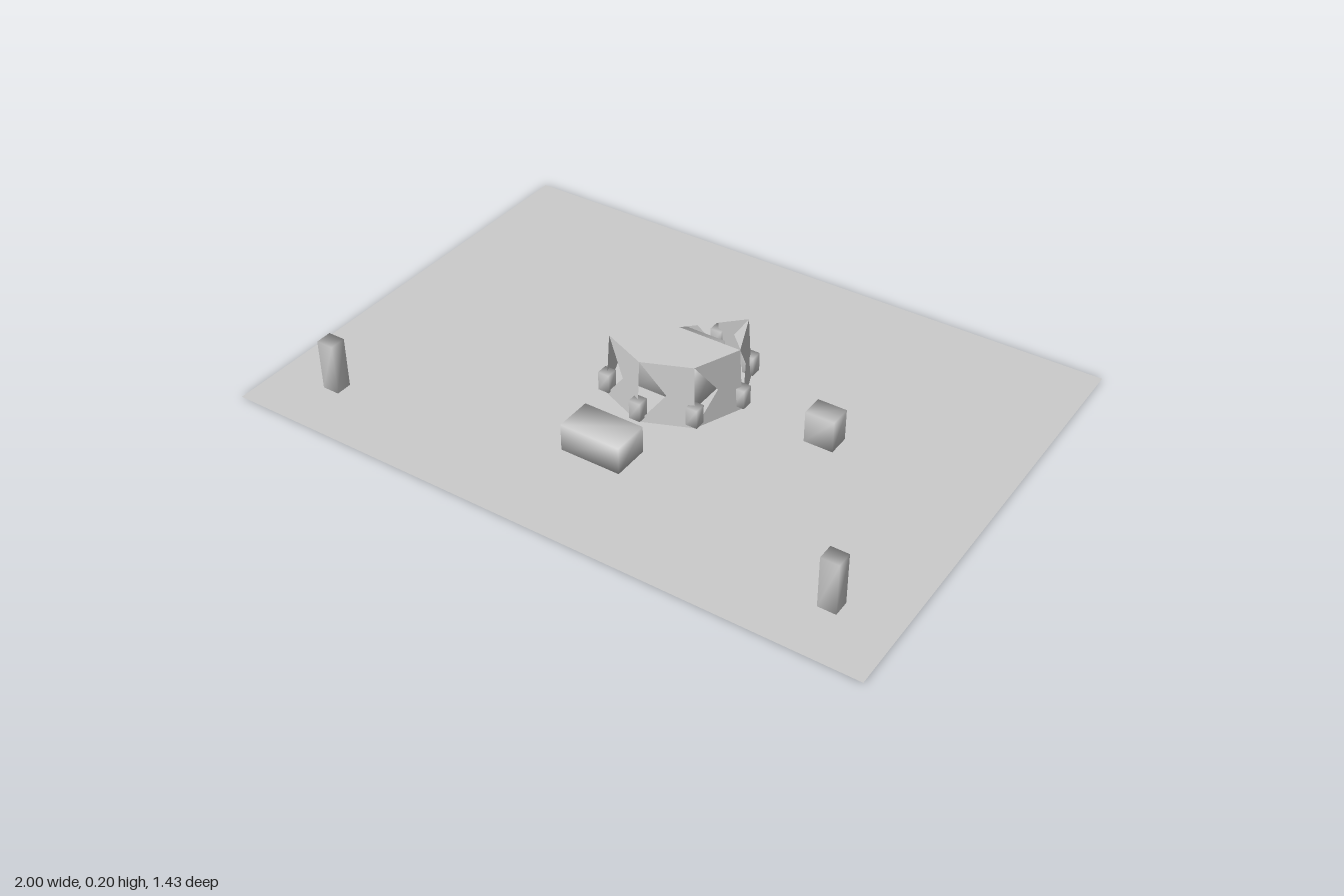
import * as THREE from 'three';
import { mergeVertices } from 'three/addons/utils/BufferGeometryUtils.js';

const SIDES = 8, CZ = -0.023, R_BOTTOM = 0.212, R_TOP = 0.2, HEIGHT = 0.2;

// Box with corner normals shared between its faces, given by its limits
function softBox(name, [x0, x1], [y0, y1], [z0, z1], material) {
  let geo = new THREE.BoxGeometry(x1 - x0, y1 - y0, z1 - z0);
  geo.deleteAttribute('normal');
  geo.deleteAttribute('uv');
  geo = mergeVertices(geo);
  geo.computeVertexNormals();
  const mesh = new THREE.Mesh(geo, material);
  mesh.position.set((x0 + x1) / 2, (y0 + y1) / 2, (z0 + z1) / 2);
  mesh.name = name;
  return mesh;
}

function triangles(name, points, material) {
  const geo = new THREE.BufferGeometry().setFromPoints(points);
  geo.computeVertexNormals();
  const mesh = new THREE.Mesh(geo, material);
  mesh.name = name;
  return mesh;
}

// Point on an octagon ring; corner 0 is at +x and corners run towards +z
function ring(i, radius, y) {
  const a = (i / SIDES) * Math.PI * 2;
  return new THREE.Vector3(Math.cos(a) * radius, y, CZ + Math.sin(a) * radius);
}

export function createModel() {
  const group = new THREE.Group();
  const grey = new THREE.MeshStandardMaterial({ color: 0xcccccc });
  const greySheet = new THREE.MeshStandardMaterial({ color: 0xcccccc, side: THREE.DoubleSide });
  grey.name = 'grey';
  greySheet.name = 'grey sheet';

  // Ground sheet
  const ground = new THREE.Mesh(new THREE.PlaneGeometry(2, 1.43), greySheet);
  ground.rotation.x = -Math.PI / 2;
  ground.position.y = 0.003;
  ground.name = 'ground';
  group.add(ground);

  // Octagonal drum: each wall panel has a triangular opening on one side,
  // and the roof leaves one sector open
  const wall = [], roof = [];
  const apex = new THREE.Vector3(0, HEIGHT, CZ);
  for (let i = 0; i < SIDES; i++) {
    const b0 = ring(i, R_BOTTOM, 0), b1 = ring(i + 1, R_BOTTOM, 0);
    const t0 = ring(i, R_TOP, HEIGHT), t1 = ring(i + 1, R_TOP, HEIGHT);
    const mid = b0.clone().add(b1).add(t0).add(t1).multiplyScalar(0.25);
    wall.push(b0, mid, b1, b0, t0, mid, t0, t1, mid);
    if (i < SIDES - 1) roof.push(apex, t1, t0);
  }
  group.add(triangles('drumWall', wall, greySheet));
  group.add(triangles('drumRoof', roof, greySheet));

  // Small blocks around the foot of the drum
  for (let i = 0; i < SIDES; i++) {
    const p = ring(i, 0.209, 0);
    group.add(softBox('footBlock', [p.x - 0.018, p.x + 0.018], [0.018, 0.078],
      [p.z - 0.018, p.z + 0.018], grey));
  }

  // Block inside the drum
  group.add(softBox('innerBlock', [-0.103, 0.103], [0.005, 0.148], [-0.1, 0.053], grey));

  // Loose blocks in front and at the side
  group.add(softBox('frontBlock', [-0.095, 0.095], [0.012, 0.097], [0.3, 0.415], grey));
  group.add(softBox('sideBlock', [0.43, 0.52], [0.004, 0.104], [-0.06, 0.01], grey));

  // Corner pillars
  for (const s of [-1, 1]) {
    const x = s * 0.81;
    group.add(softBox('pillar', [x - 0.027, x + 0.027], [0.003, 0.163], [0.503, 0.553], grey));
  }
  return group;
}
